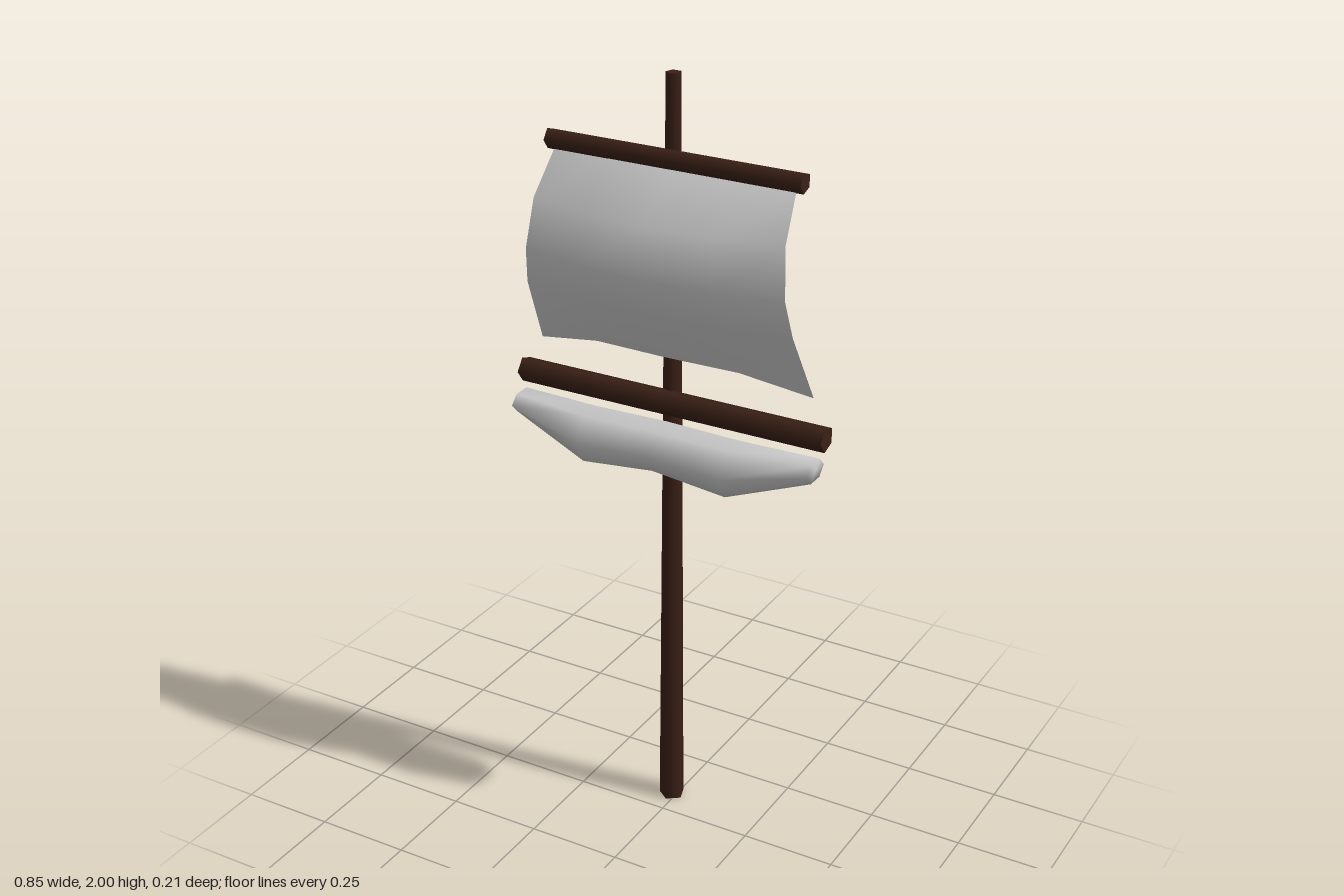
import * as THREE from 'three';

const wood = new THREE.MeshStandardMaterial({ color: 0x3a2016 });
const cloth = new THREE.MeshStandardMaterial({ color: 0xcccccc, side: THREE.DoubleSide });

// Smooth surface over a grid of [x, y, z] points; columns run along +x
function surface(columns, closed) {
  const n = columns[0].length;
  const index = [];
  for (let i = 0; i < columns.length - 1; i++) {
    for (let j = 0; j < (closed ? n : n - 1); j++) {
      const k = (j + 1) % n;
      const a = i * n + j, b = a + n, c = i * n + k, d = c + n;
      index.push(a, b, d, a, d, c);
    }
  }
  const geometry = new THREE.BufferGeometry();
  geometry.setAttribute('position', new THREE.Float32BufferAttribute(columns.flat(2), 3));
  geometry.setIndex(index);
  geometry.computeVertexNormals();
  return geometry;
}

// Five-sided horizontal spar, one edge facing forward
function yard(name, radius, length, y, z) {
  const geometry = new THREE.CylinderGeometry(radius, radius, length, 5).rotateZ(Math.PI / 2);
  const mesh = new THREE.Mesh(geometry, wood);
  mesh.name = name;
  mesh.position.set(0, y, z);
  return mesh;
}

// Billowing sail: [y, half width, z at the side edge, z at the middle], bottom to top
function sailGeometry() {
  const rows = [
    [1.274, 0.379, -0.055, -0.008],
    [1.455, 0.362, 0.032, 0.08],
    [1.549, 0.35, 0.053, 0.102],
    [1.675, 0.337, 0.032, 0.087],
    [1.78, 0.323, -0.045, -0.045],
  ];
  const columns = [-1, -0.52, 0, 0.52, 1].map((u) => rows.map(([y, w, edge, middle], j) => {
    const bulge = 1 - u * u;
    const lift = j === 0 ? 0.042 * Math.min(1, bulge * 1.25) : 0;
    return [u * w, y + lift, edge + (middle - edge) * bulge];
  }));
  return surface(columns, false);
}

// Rolled sail: six-sided sections [x, bottom, top, back, front], closed at both ends
function furledGeometry() {
  const half = [
    [0.414, 1.088, 1.136, -0.05, 0.042],
    [0.2, 1.012, 1.136, -0.053, 0.082],
  ];
  const sections = [
    ...half.map(([x, ...s]) => [-x, ...s]),
    [0, 1.035, 1.141, -0.053, 0.086],
    ...half.slice().reverse(),
  ];
  const ring = ([x, y0, y1, z0, z1], size = 1) => Array.from({ length: 6 }, (_, j) => {
    const a = j * Math.PI / 3;
    return [x,
      (y0 + y1) / 2 + size * (y1 - y0) / 2 * Math.sin(a) / Math.sin(Math.PI / 3),
      (z0 + z1) / 2 + size * (z1 - z0) / 2 * Math.cos(a)];
  });
  return surface([
    ring(sections[0], 0),
    ...sections.map((s) => ring(s)),
    ring(sections[sections.length - 1], 0),
  ], true);
}

export function createModel() {
  const model = new THREE.Group();
  model.name = 'mastWithSails';

  // Tapered mast
  const mast = new THREE.Mesh(new THREE.CylinderGeometry(0.019, 0.034, 2, 5), wood);
  mast.name = 'mast';
  mast.position.set(-0.014, 1, -0.076);

  // Sails
  const sail = new THREE.Mesh(sailGeometry(), cloth);
  sail.name = 'openSail';
  const furled = new THREE.Mesh(furledGeometry(), cloth);
  furled.name = 'furledSail';

  model.add(
    mast,
    yard('upperYard', 0.026, 0.684, 1.8, -0.051),
    yard('lowerYard', 0.033, 0.85, 1.184, -0.038),
    sail,
    furled,
  );
  return model;
}
